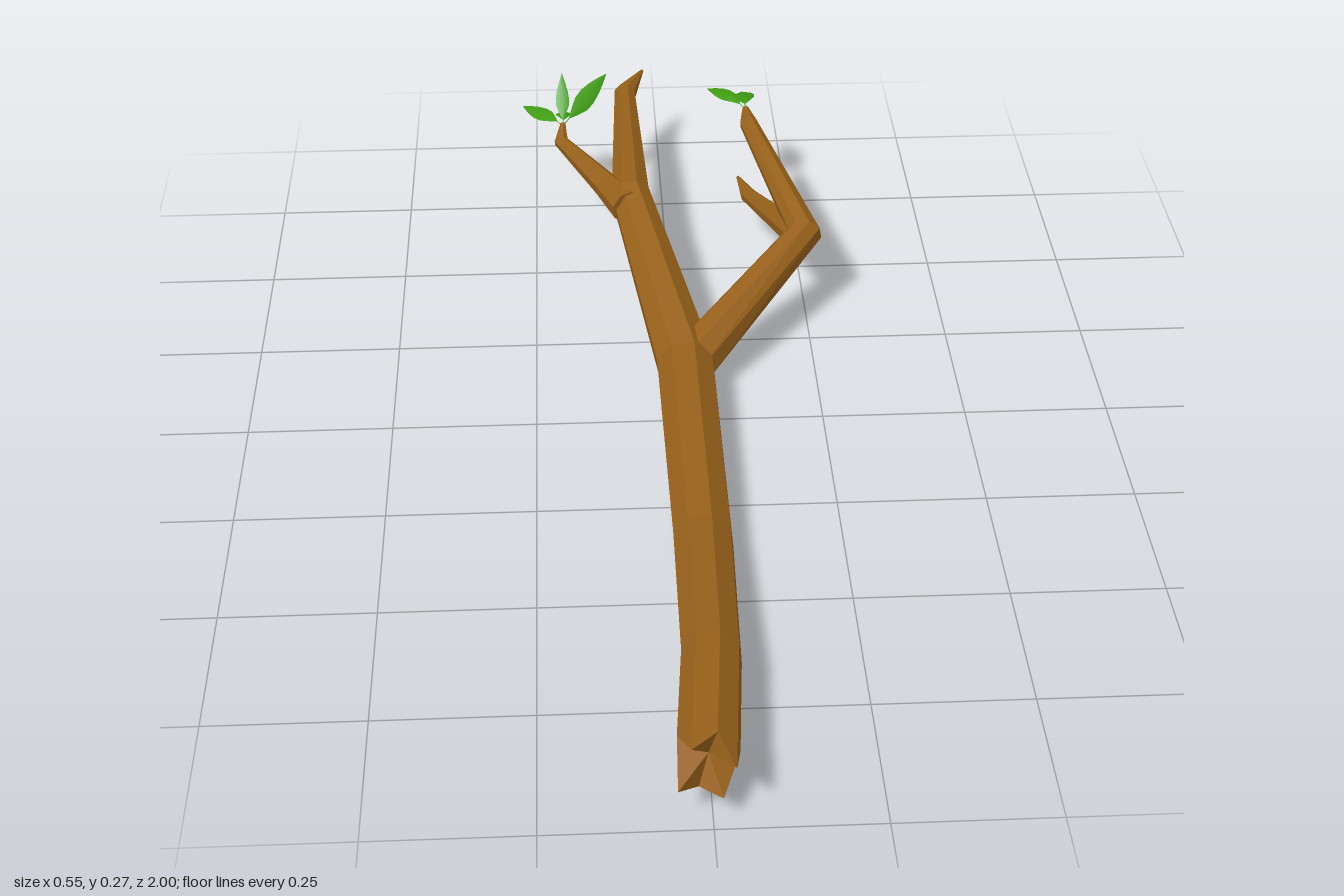
import * as THREE from 'three';

const SIDES = 8;
const bark = new THREE.MeshStandardMaterial({ color: 0x96601a, flatShading: true });
const green = new THREE.MeshStandardMaterial({ color: 0x3f9c12, side: THREE.DoubleSide });

function mesh(name, positions, index, material) {
  const geo = new THREE.BufferGeometry();
  geo.setAttribute('position', new THREE.Float32BufferAttribute(positions, 3));
  geo.setIndex(index);
  geo.computeVertexNormals();
  const m = new THREE.Mesh(geo, material);
  m.name = name;
  return m;
}

// Tapered limb through sections [x, y, z, radius]; jags pushes the first ring
// back along the limb to give a splintered end.
function limb(name, sections, jags = null) {
  const centres = sections.map(([x, y, z]) => new THREE.Vector3(x, y, z));
  const up = new THREE.Vector3(0, 1, 0);
  const positions = [], index = [];
  const last = centres.length - 1;
  const directions = centres.map((c, i) => {
    const t = new THREE.Vector3();
    if (i > 0) t.add(c.clone().sub(centres[i - 1]).normalize());
    if (i < last) t.add(centres[i + 1].clone().sub(c).normalize());
    return t.normalize();
  });
  centres.forEach((c, i) => {
    const t = directions[i];
    const u = up.clone().cross(t).normalize();
    const v = t.clone().cross(u);
    for (let j = 0; j < SIDES; j++) {
      const a = ((j + 0.35) / SIDES) * Math.PI * 2, r = sections[i][3];
      const p = c.clone().addScaledVector(u, r * Math.cos(a)).addScaledVector(v, r * Math.sin(a));
      if (jags && i === 0) p.addScaledVector(t, jags[j]);
      positions.push(p.x, p.y, p.z);
    }
  });
  for (let i = 0; i < last; i++) {
    for (let j = 0; j < SIDES; j++) {
      const a = i * SIDES + j, b = i * SIDES + ((j + 1) % SIDES);
      index.push(a, b, a + SIDES, b, b + SIDES, a + SIDES);
    }
  }
  // end caps, the first one sunk inwards when splintered
  const start = centres[0].clone().addScaledVector(directions[0], jags ? 0.06 : 0);
  const s = positions.length / 3;
  positions.push(...start.toArray(), ...centres[last].toArray());
  for (let j = 0; j < SIDES; j++) {
    const k = (j + 1) % SIDES;
    index.push(k, j, s, last * SIDES + j, last * SIDES + k, s + 1);
  }
  return mesh(name, positions, index, bark);
}

// Leaf blade on a thin stalk, arching from base to tip and folded along its midrib
function leaf(name, base, tip, width, arch, side) {
  const from = new THREE.Vector3(...base), to = new THREE.Vector3(...tip);
  const mid = from.clone().lerp(to, 0.5);
  mid.y += arch;
  const curve = new THREE.QuadraticBezierCurve3(from, mid, to);
  const across = new THREE.Vector3(...side).normalize();
  const fold = to.clone().sub(from).cross(across).normalize();
  const profile = [0.05, 0.05, 0.55, 0.95, 1, 0.8, 0.45, 0.01];
  const positions = [], index = [];
  profile.forEach((w, i) => {
    const c = curve.getPoint(i / (profile.length - 1));
    for (const k of [-1, 0, 1]) {
      const p = c.clone().addScaledVector(across, k * w * width / 2);
      p.addScaledVector(fold, Math.abs(k) * w * width * 0.12);
      positions.push(p.x, p.y, p.z);
    }
    if (i === 0) return;
    for (let k = 0; k < 2; k++) {
      const a = (i - 1) * 3 + k;
      index.push(a, a + 1, a + 3, a + 1, a + 4, a + 3);
    }
  });
  return mesh(name, positions, index, green);
}

export function createModel() {
  const group = new THREE.Group();
  group.name = 'branch';

  // Main stem, from broken butt to pointed tip
  group.add(limb('mainStem', [
    [-0.01, 0.1, 1.0, 0.047],
    [0.012, 0.084, 0.72, 0.047],
    [0.018, 0.053, 0.4, 0.05],
    [0.014, 0.063, -0.09, 0.053],
    [-0.068, 0.163, -0.51, 0.038],
    [-0.067, 0.165, -0.92, 0.022],
    [-0.03, 0.175, -1.0, 0.003],
  ], [0.08, 0.015, 0.05, 0.0, 0.08, 0.01, 0.04, 0.0]));

  // Side branch with its bend, and the bare lower twig
  group.add(limb('sideBranch', [
    [0.02, 0.06, -0.09, 0.045],
    [0.245, 0.17, -0.35, 0.032],
    [0.163, 0.232, -0.66, 0.017],
    [0.16, 0.243, -0.7, 0.006],
  ]));
  group.add(limb('lowerTwig', [
    [0.24, 0.165, -0.34, 0.027],
    [0.16, 0.108, -0.6, 0.015],
    [0.145, 0.108, -0.67, 0.003],
  ]));

  // Short twig on the other fork
  group.add(limb('shortTwig', [
    [-0.075, 0.163, -0.47, 0.032],
    [-0.112, 0.164, -0.55, 0.025],
    [-0.197, 0.179, -0.7, 0.014],
    [-0.193, 0.2, -0.735, 0.005],
  ]));

  // Leaves: base, tip, width, arch, crosswise direction
  const a = [-0.193, 0.198, -0.73], b = [0.16, 0.243, -0.695];
  [
    [a, [-0.193, 0.271, -0.81], 0.026, -0.01, [1, 0, 0]],
    [a, [-0.105, 0.25, -0.845], 0.036, 0.0, [0.6, -0.6, 0.4]],
    [a, [-0.272, 0.19, -0.83], 0.034, 0.012, [0.7, 0.25, -0.6]],
    [a, [-0.188, 0.14, -0.875], 0.034, 0.04, [1, 0, 0]],
    [b, [0.09, 0.248, -0.775], 0.034, 0.024, [0.7, 0.1, -0.6]],
    [b, [0.164, 0.192, -0.862], 0.042, 0.03, [1, 0.1, 0]],
  ].forEach((spec, i) => group.add(leaf('leaf' + (i + 1), ...spec)));

  return group;
}
